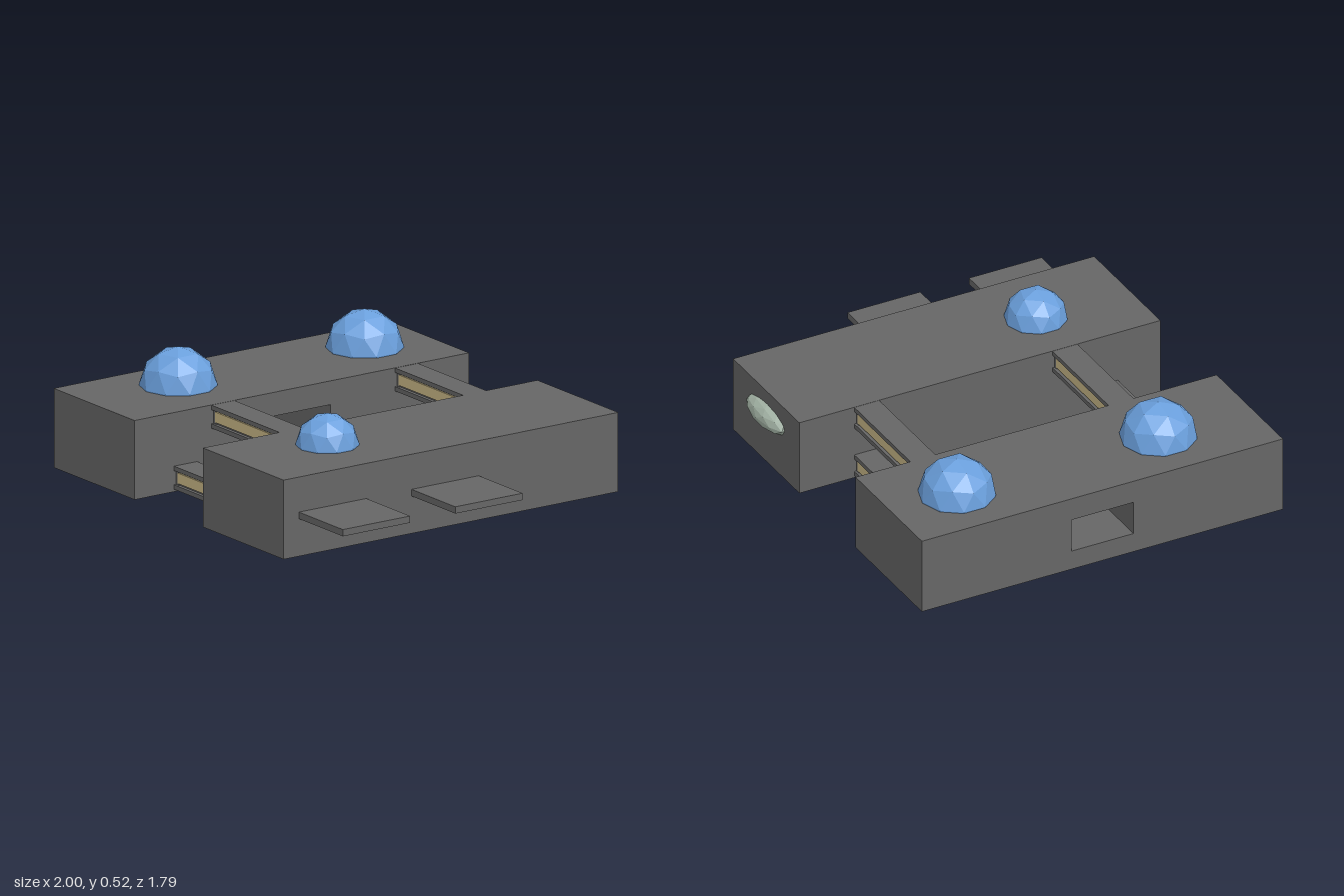
import * as THREE from 'three';

const mat = (color) => new THREE.MeshStandardMaterial({ color, flatShading: true });

export function createModel() {
  const model = new THREE.Group();
  const grey = mat(0x666666), blue = mat(0x6a9fdc), cream = mat(0xcbb988), green = mat(0xa3b3a5);

  const add = (name, geometry, material, parent = model) => {
    const mesh = new THREE.Mesh(geometry, material);
    mesh.name = name;
    parent.add(mesh);
    return mesh;
  };
  // Box given by its limits on each axis
  const block = (name, [x0, x1], [y0, y1], [z0, z1], material, parent) => {
    const mesh = add(name, new THREE.BoxGeometry(x1 - x0, y1 - y0, z1 - z0), material, parent);
    mesh.position.set((x0 + x1) / 2, (y0 + y1) / 2, (z0 + z1) / 2);
    return mesh;
  };
  // Faceted ball with one corner pointing straight up
  const ball = (name, x, y, z, radius, material) => {
    const geometry = new THREE.IcosahedronGeometry(radius, 1);
    geometry.rotateZ(Math.atan(2 / (1 + Math.sqrt(5))));
    const mesh = add(name, geometry, material);
    mesh.position.set(x, y, z);
    return mesh;
  };

  // Right hull with a rectangular passage running through its sides
  const side = new THREE.Shape([[-0.845, 0], [0.895, 0], [0.895, 0.35], [-0.845, 0.35]]
    .map(([z, y]) => new THREE.Vector2(z, y)));
  side.holes.push(new THREE.Path([[-0.125, 0.09], [-0.125, 0.245], [0.175, 0.245], [0.175, 0.09]]
    .map(([z, y]) => new THREE.Vector2(z, y))));
  const rightHull = add('rightHull',
    new THREE.ExtrudeGeometry(side, { depth: 0.59, bevelEnabled: false }), grey);
  rightHull.rotation.y = -Math.PI / 2;
  rightHull.position.x = -0.41;

  // Left hull
  block('leftHull', [0.09, 0.68], [0, 0.35], [-0.845, 0.895], grey);

  // Connecting beams: flanges, end posts, recessed web and lit strips
  const beam = (y, z) => {
    const group = new THREE.Group();
    group.name = 'connectingBeam';
    group.position.set(-0.16, y, z);
    model.add(group);
    const half = 0.25;
    for (const s of [-1, 1]) {
      const flange = block('beamFlange', [-half, half], [-0.01, 0.01], [-0.06, 0.06], grey, group);
      flange.position.y = s * 0.041;
      const post = block('beamEnd', [-0.01, 0.01], [-0.035, 0.035], [-0.05, 0.05], grey, group);
      post.position.x = s * 0.24;
    }
    block('beamWeb', [-half, half], [-0.035, 0.035], [-0.045, 0.045], grey, group);
    block('beamStrip', [-0.235, 0.235], [-0.023, 0.023], [-0.052, 0.052], cream, group);
  };
  for (const [y, z] of [[0.298, -0.52], [0.062, -0.52], [0.298, 0.435], [0.062, 0.63]]) beam(y, z);

  // Roof domes
  ball('largeDome', -0.73, 0.355, -0.53, 0.167, blue);
  ball('largeDome', -0.73, 0.355, 0.44, 0.167, blue);
  ball('smallDome', 0.36, 0.355, 0.44, 0.136, blue);

  // Flattened lens on the back of the left hull
  ball('rearLens', 0.38, 0.235, -0.84, 1, green).scale.set(0.165, 0.055, 0.058);

  // Flat side fins
  for (const z of [-0.12, 0.465]) {
    block('sideFin', [0.68, 1], [0.165, 0.195], [z, z + 0.35], grey);
  }
  return model;
}
